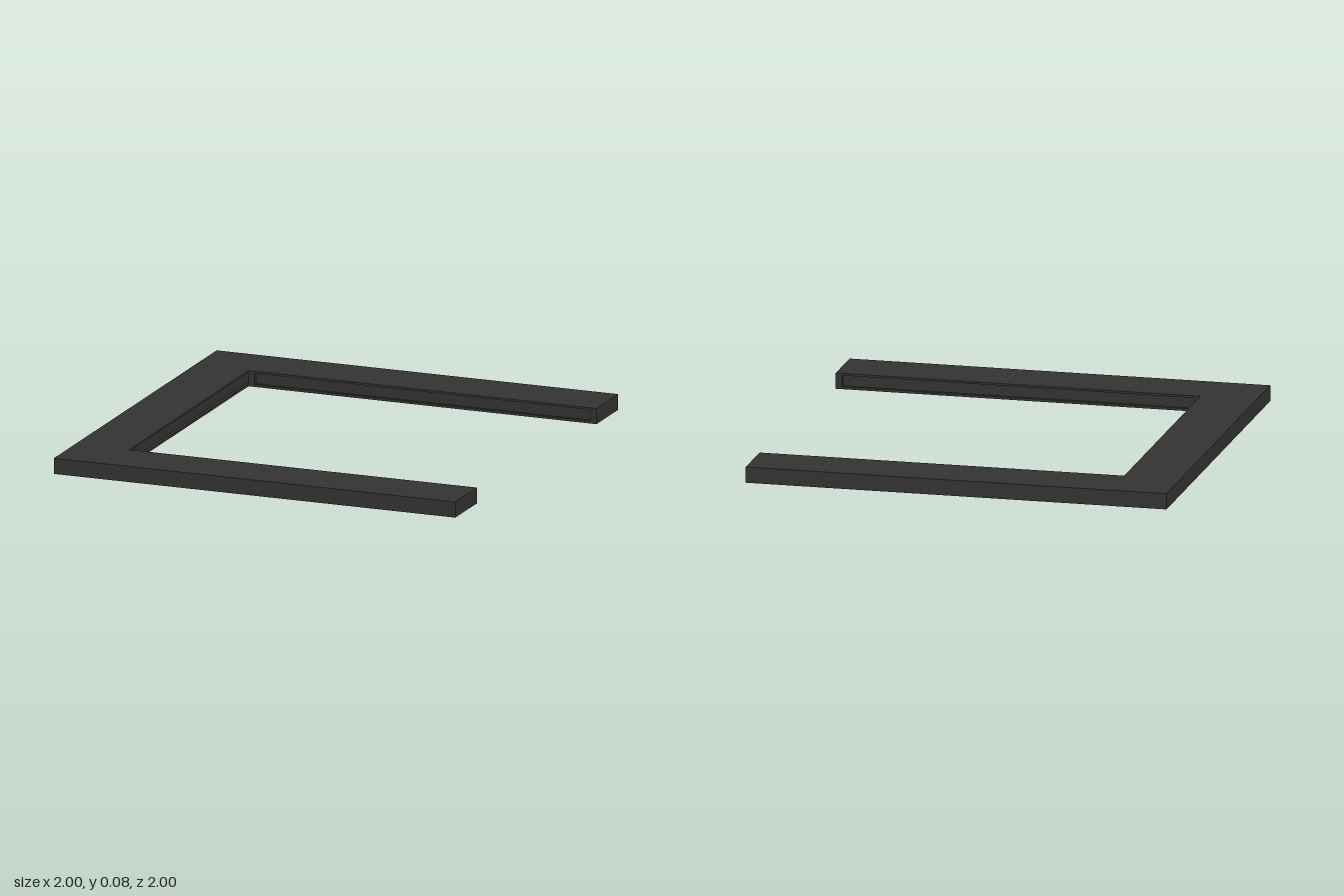
import * as THREE from 'three';

const W = 0.267;   // bar width
const H = 0.075;   // bar height
const CAP = 0.03;  // solid length at each bar end

const material = new THREE.MeshStandardMaterial({ color: 0x333333 });

// Bar cross-section: grooved inner edge (+x) and a narrow slot underneath
function barProfile() {
  const h = W / 2, slot = 0.01, slotDepth = 0.012, groove = 0.015;
  return new THREE.Shape([
    [-h, 0], [-slot, 0], [-slot, slotDepth], [slot, slotDepth], [slot, 0],
    [h, 0], [h, 0.012], [h - groove, 0.012], [h - groove, 0.065], [h, 0.065],
    [h, H], [-h, H],
  ].map(([x, y]) => new THREE.Vector2(x, y)));
}

// A bar running along local z, with plain blocks closing both ends
function makeBar(name, length) {
  const bar = new THREE.Group();
  bar.name = name;
  const run = length - 2 * CAP;
  const bodyGeometry = new THREE.ExtrudeGeometry(barProfile(), { depth: run, bevelEnabled: false });
  bodyGeometry.translate(0, 0, -run / 2);
  const body = new THREE.Mesh(bodyGeometry, material);
  body.name = 'barBody';
  bar.add(body);
  for (const s of [-1, 1]) {
    const cap = new THREE.Mesh(new THREE.BoxGeometry(W, H, CAP), material);
    cap.name = 'endCap';
    cap.position.set(0, H / 2, s * (length - CAP) / 2);
    bar.add(cap);
  }
  return bar;
}

export function createModel() {
  const model = new THREE.Group();
  model.name = 'openFrame';

  // Full-length side bar
  const side = makeBar('sideBar', 2);
  side.position.x = -1 + W / 2;
  model.add(side);

  // Front and back arms butt against the side bar, grooves facing inward
  for (const s of [1, -1]) {
    const arm = makeBar(s > 0 ? 'frontArm' : 'backArm', 2 - W);
    arm.rotation.y = s * Math.PI / 2;
    arm.position.set(W / 2, 0, s * (1 - W / 2));
    model.add(arm);
  }
  return model;
}
